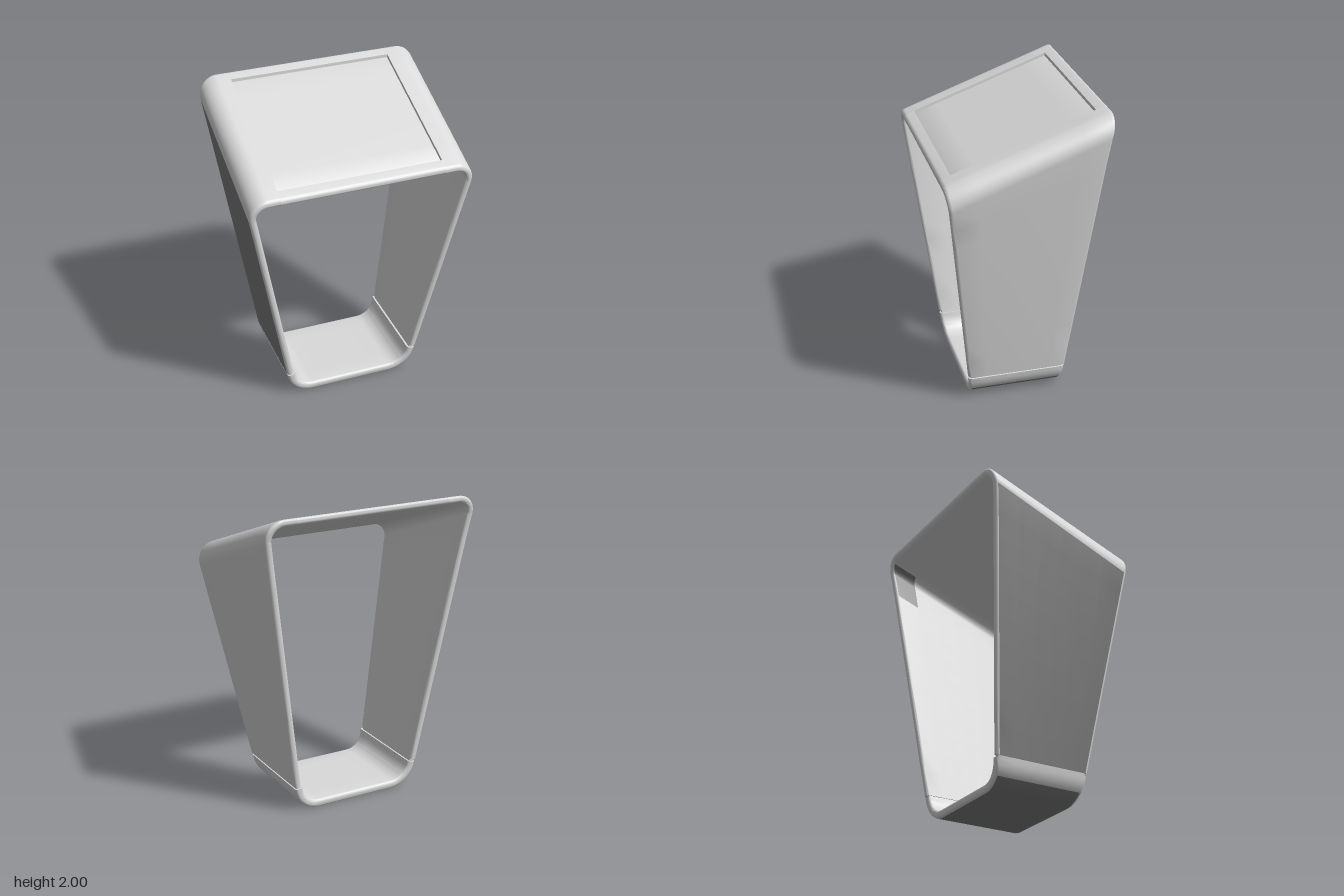
import * as THREE from 'three';
import { toCreasedNormals } from 'three/addons/utils/BufferGeometryUtils.js';

const lerp = THREE.MathUtils.lerp;
// Depth of the front and back rims at a given height
const frontZ = y => 0.312 + 0.124 * y;
const backZ = y => -(0.295 + 0.102 * y) - 0.012 * THREE.MathUtils.smoothstep(y, 1.8, 2);

// Fillet between two directions, as [x, y, inward normal x, inward normal y], running clockwise
function fillet(cx, cy, r, a0, a1, n) {
  return Array.from({ length: n + 1 }, (_, i) => {
    const a = lerp(a0, a1, i / n), c = Math.cos(a), s = Math.sin(a);
    return [cx + r * c, cy + r * s, -c, -s];
  });
}
const mirror = path => path.map(([x, y, nx, ny]) => [-x, y, -nx, ny]).reverse();

// Upper path: top edge, rounded shoulder, straight leaning leg down to the joint
function upperPath(topY, topX) {
  const foot = new THREE.Vector2(0.456, 0.181), r = 0.12;
  const lean = Math.atan2(topX - foot.x, topY - foot.y);
  const tangent = r / Math.tan((Math.PI / 2 - lean) / 2);
  const arc = fillet(topX - tangent, topY - r, r, Math.PI / 2, -lean, 14);
  const [ex, ey, nx, ny] = arc.at(-1);
  const leg = Array.from({ length: 10 }, (_, i) => {
    const k = (i + 1) / 10;
    return [lerp(ex, foot.x, k), lerp(ey, foot.y, k), nx, ny];
  });
  return [[0.53, topY, 0, -1], ...arc, ...leg];
}

// Faces across the outer side of a band, numbered around its section
const isOuter = j => j >= 4 && j <= 9;

// Rounded rectangular band swept between a front path and a back path;
// dark(k, j) picks the faces of the second material by path step and section side
function sweep(front, back, { t = 0.045, r = 0.019, s0 = 0, s1 = 1, v0 = 0, inset = 0, notch = null, caps = true, dark = () => false }) {
  const pos = [], idx = [], darkIdx = [], seg = 4, across = 6;
  let ringSize = 0;
  front.forEach((f, k) => {
    const b = back[k], zf = frontZ(f[1]) - inset, zb = backZ(b[1]) + inset, d = (zf - zb) * (s1 - s0);
    const ring = [];
    const corner = (fn) => {
      for (let i = 0; i <= seg; i++) {
        const a = (i / seg) * Math.PI / 2;
        ring.push(fn(r - r * Math.cos(a), r - r * Math.sin(a)));
      }
    };
    const between = (from, to, v) => {
      for (let i = 1; i < across; i++) ring.push([lerp(from, to, i / across), v]);
    };
    corner((c, s) => [c / d, s]);
    if (notch) ring.push(...notch); else between(r / d, 1 - r / d, 0);
    corner((c, s) => [1 - s / d, c]);
    corner((c, s) => [1 - c / d, t - s]);
    between(1 - r / d, r / d, t);
    corner((c, s) => [s / d, t - c]);
    ringSize = ring.length;
    for (const [u, w] of ring) {
      const s = lerp(s0, s1, u), v = w + v0;
      pos.push(lerp(f[0] + v * f[2], b[0] + v * b[2], s), lerp(f[1] + v * f[3], b[1] + v * b[3], s), lerp(zf, zb, s));
    }
  });
  const n = ringSize, last = front.length - 1;
  for (let k = 0; k < last; k++) for (let j = 0; j < n; j++) {
    const a = k * n + j, b = k * n + (j + 1) % n;
    (dark(k, j) ? darkIdx : idx).push(a, a + n, b + n, a, b + n, b);
  }
  // End caps as fans around the ring centre
  if (caps) for (const k of [0, last]) {
    const c = [0, 0, 0], centre = pos.length / 3;
    for (let j = 0; j < n; j++) for (let q = 0; q < 3; q++) c[q] += pos[(k * n + j) * 3 + q] / n;
    pos.push(...c);
    for (let j = 0; j < n; j++) {
      const a = k * n + j, b = k * n + (j + 1) % n;
      idx.push(centre, ...(k ? [b, a] : [a, b]));
    }
  }
  const geo = new THREE.BufferGeometry();
  geo.setAttribute('position', new THREE.Float32BufferAttribute(pos, 3));
  geo.setIndex([...idx, ...darkIdx]);
  geo.addGroup(0, idx.length, 0);
  if (darkIdx.length) geo.addGroup(idx.length, darkIdx.length, 1);
  return toCreasedNormals(geo, 0.6);
}

export function createModel() {
  const group = new THREE.Group();
  group.name = 'kiosk';
  const light = new THREE.MeshStandardMaterial({ color: 0xdadada });
  light.name = 'light grey';
  const darkGrey = new THREE.MeshStandardMaterial({ color: 0x808080 });
  darkGrey.name = 'dark grey';
  const add = (name, geo) => {
    const mesh = new THREE.Mesh(geo, [light, darkGrey]);
    mesh.name = name;
    group.add(mesh);
  };
  const frontTop = 1.638, backTop = 2.008;

  // Shoulders and legs: the right leg is dark outside, the left has a dark sliver inside its shoulder
  const front = upperPath(frontTop, 0.748), back = upperPath(backTop, 0.747);
  add('leftLeg', sweep(front, back, { dark: (k, j) => j === 19 && k >= 6 && k <= 15 }));
  add('rightLeg', sweep(mirror(front), mirror(back), { dark: (k, j) => isOuter(j) && k < 10 }));

  // Sloping top with a shallow recess, and the panel lying in it
  const flat = (x, y) => [[-x, y, 0, -1], [x, y, 0, -1]];
  const near = 0.065, far = 0.932, deep = 0.03;
  add('top', sweep(flat(0.53, frontTop), flat(0.53, backTop), {
    notch: [[near, 0], [near, deep], [far, deep], [far, 0]], caps: false,
  }));
  add('panel', sweep(flat(0.528, frontTop), flat(0.528, backTop), {
    s0: near + 0.002, s1: far - 0.002, v0: 0.018, t: 0.013, r: 0.001,
  }));

  // Curved base with a dark underside
  const lean = Math.atan2(0.2, 1), r = 0.18;
  const cx = 0.417 - r * Math.tan((Math.PI / 2 - lean) / 2);
  const arc = fillet(cx, r, r, -lean, -Math.PI / 2, 14);
  const nx = -Math.cos(lean), ny = Math.sin(lean);
  const half = [[0.417 + 0.2 * 0.165, 0.165, nx, ny], ...arc];
  const base = [...half, ...mirror(half)];
  add('base', sweep(base, base, { t: 0.052, dark: (k, j) => isOuter(j) && k >= 6 && k <= 24 }));

  // Recessed joints between legs and base
  const joint = [0.2, 0.15].map(y => [0.418 + 0.2 * y, y, nx, ny]);
  const jointShape = { v0: 0.009, t: 0.03, r: 0.008, inset: 0.012 };
  add('leftJoint', sweep(joint, joint, jointShape));
  add('rightJoint', sweep(mirror(joint), mirror(joint), jointShape));
  return group;
}
